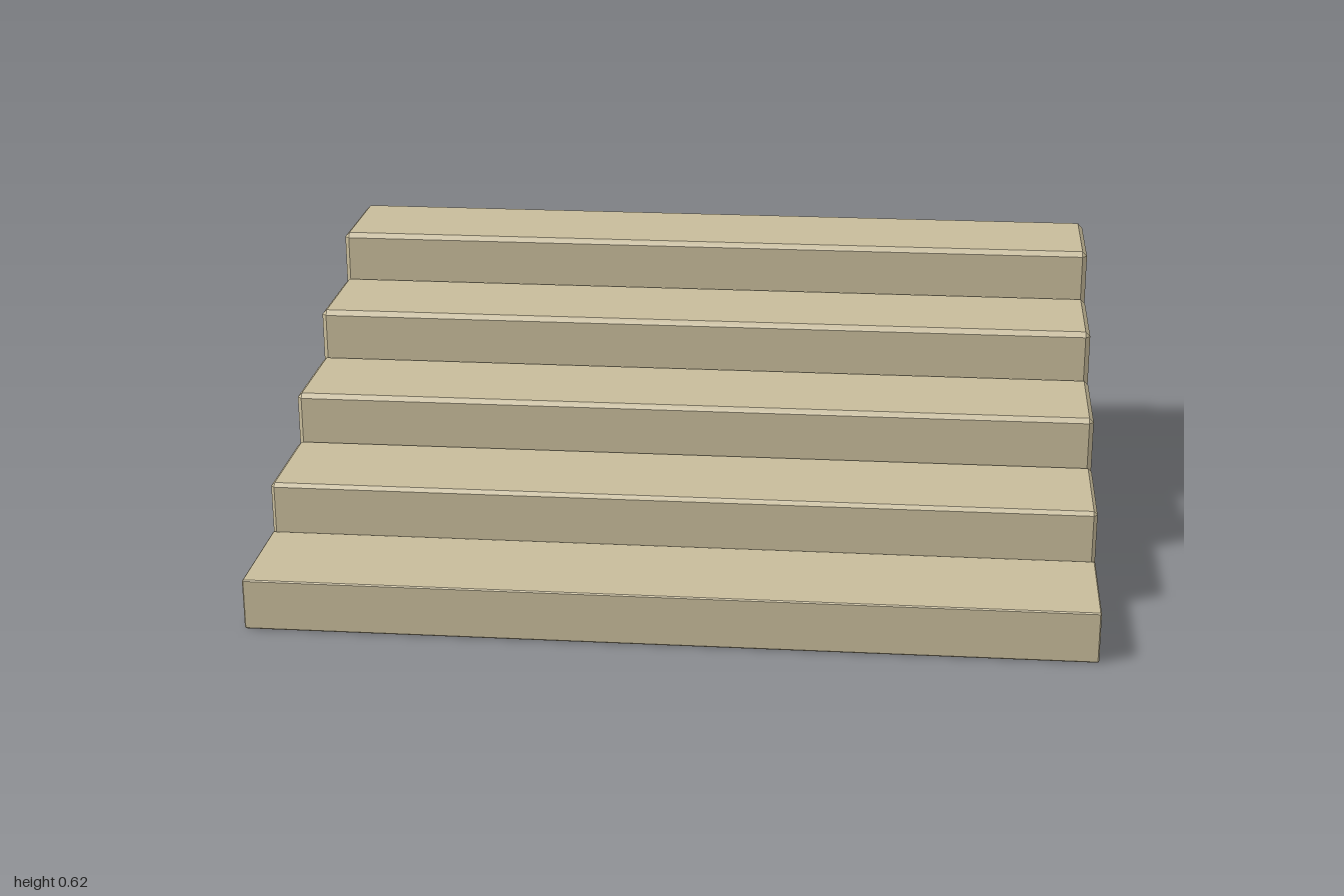
import * as THREE from 'three';
import { ConvexGeometry } from 'three/addons/geometries/ConvexGeometry.js';

// Box with every edge cut by a flat chamfer c
function chamferedBox(w, h, d, c) {
  const points = [];
  for (const sx of [-1, 1]) for (const sy of [-1, 1]) for (const sz of [-1, 1]) {
    const x = w / 2, y = h / 2, z = d / 2;
    points.push(
      new THREE.Vector3(sx * x, sy * (y - c), sz * (z - c)),
      new THREE.Vector3(sx * (x - c), sy * y, sz * (z - c)),
      new THREE.Vector3(sx * (x - c), sy * (y - c), sz * z)
    );
  }
  return new ConvexGeometry(points);
}

export function createModel() {
  const group = new THREE.Group();
  group.name = 'staircase';
  const stone = new THREE.MeshStandardMaterial({ color: 0xc8bc9b, flatShading: true });

  // Five full-height blocks, rising from the front to the back
  const rise = 0.125, pitch = 0.298, depth = 0.297;
  const chamfers = [0.003, 0.009, 0.011, 0.012, 0.012];
  chamfers.forEach((chamfer, i) => {
    const height = rise * (i + 1);
    const step = new THREE.Mesh(chamferedBox(2, height, depth, chamfer), stone);
    step.name = `step${i + 1}`;
    step.position.set(0, height / 2, (2 - i) * pitch);
    group.add(step);
  });
  return group;
}
